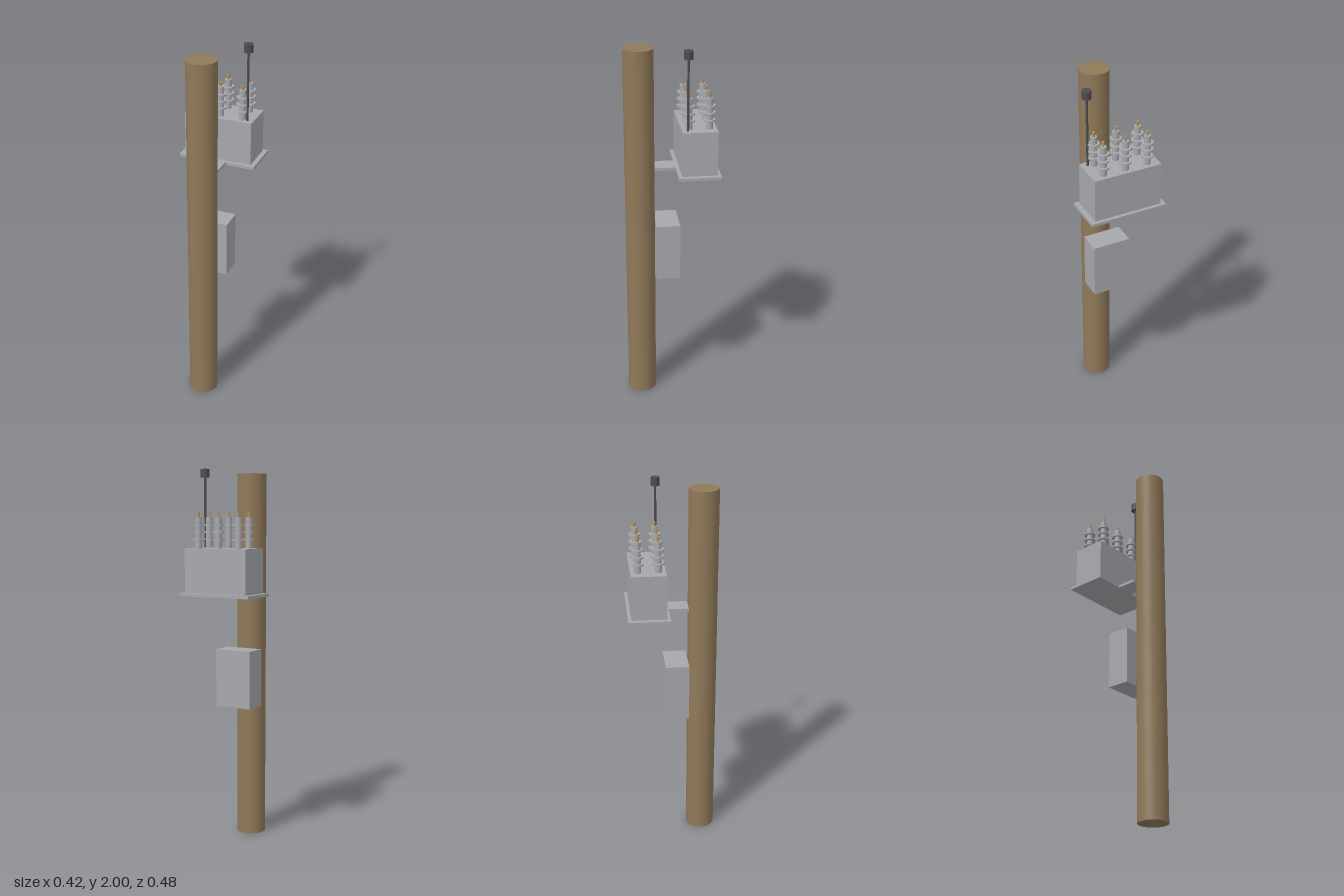
import * as THREE from 'three';

const material = (name, color) => {
  const m = new THREE.MeshStandardMaterial({ color });
  m.name = name;
  return m;
};

export function createModel() {
  const wood = material('wood', 0x8f7959);
  const steel = material('grey steel', 0xa6a8ac);
  const dark = material('dark metal', 0x4c4d50);
  const brass = material('brass', 0xb8925a);

  const model = new THREE.Group();
  model.name = 'poleMountedSwitch';

  const add = (parent, name, geometry, mat, x, y, z) => {
    const mesh = new THREE.Mesh(geometry, mat);
    mesh.name = name;
    mesh.position.set(x, y, z);
    parent.add(mesh);
  };
  // Box and upright cylinder given by their limits
  const box = (name, x, y0, y1, z0, z1) =>
    add(model, name, new THREE.BoxGeometry(2 * x, y1 - y0, z1 - z0), steel, 0, (y0 + y1) / 2, (z0 + z1) / 2);
  const rod = (parent, name, r, y0, y1, mat, x = 0, z = 0, sides = 24) =>
    add(parent, name, new THREE.CylinderGeometry(r, r, y1 - y0, sides), mat, x, (y0 + y1) / 2, z);

  // Pole
  rod(model, 'pole', 0.078, 0, 1.98, wood, 0, 0.161, 48);

  // Bracket, platform, tank and control cabinet behind the pole
  box('bracketArm', 0.051, 1.341, 1.357, -0.022, 0.083);
  box('platform', 0.208, 1.341, 1.357, -0.24, -0.022);
  box('tank', 0.183, 1.357, 1.59, -0.222, -0.041);
  box('controlCabinet', 0.104, 0.735, 1.045, -0.042, 0.083);

  // Two rows of three bushings
  for (const z of [-0.184, -0.08]) {
    for (const x of [-0.12, 0, 0.12]) {
      const bushing = new THREE.Group();
      bushing.name = 'bushing';
      bushing.position.set(x, 1.59, z);
      rod(bushing, 'bushingCore', 0.0175, 0, 0.16, steel);
      for (const y of [0.045, 0.082, 0.119]) rod(bushing, 'shed', 0.031, y - 0.004, y + 0.004, steel);
      rod(bushing, 'terminal', 0.007, 0.16, 0.185, brass, 0, 0, 16);
      model.add(bushing);
    }
  }

  // Antenna mast with its sensor head
  rod(model, 'antennaMast', 0.006, 1.59, 1.957, dark, 0.15, -0.072, 16);
  rod(model, 'antennaHead', 0.0235, 1.957, 2, dark, 0.15, -0.072);

  return model;
}
